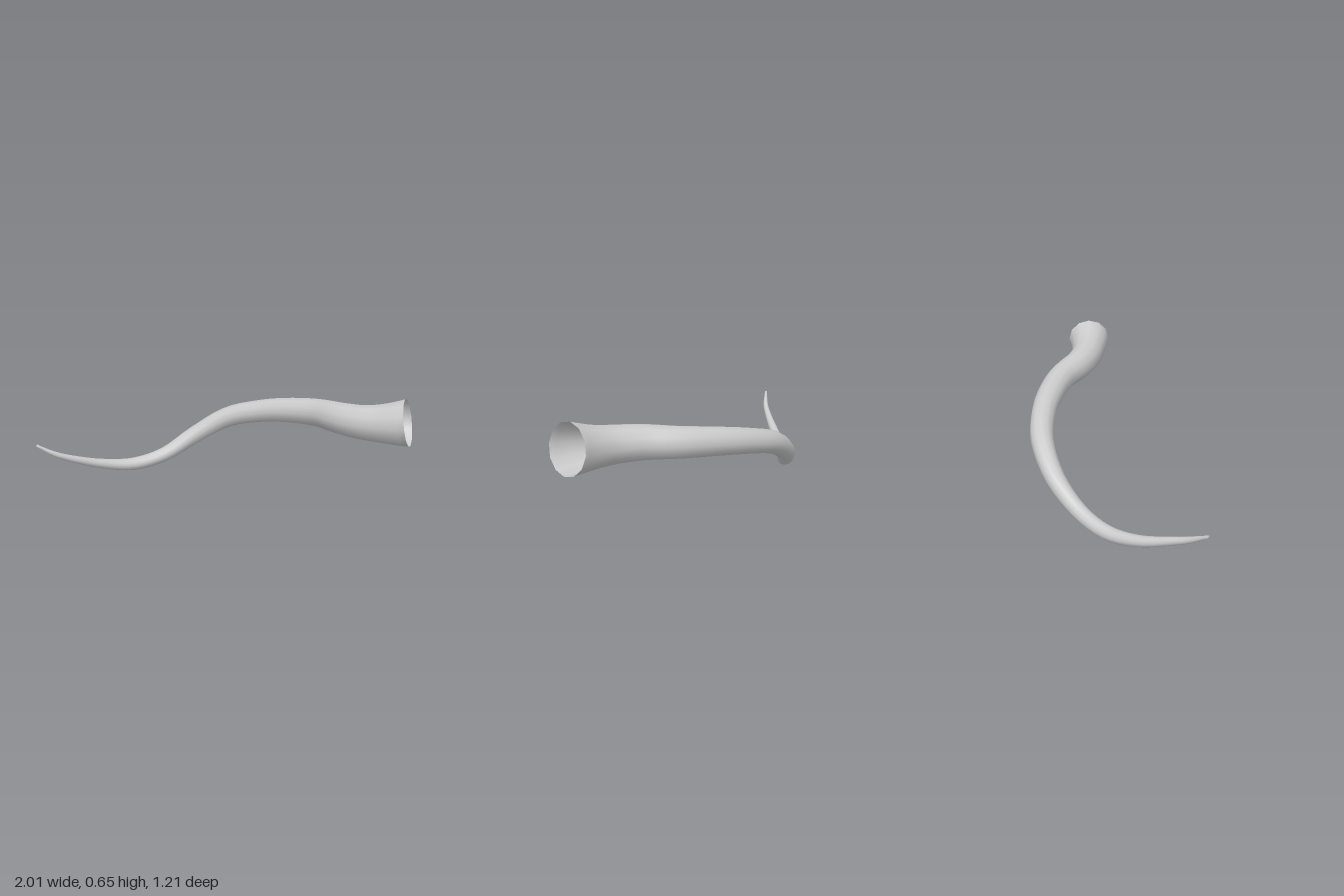
import * as THREE from 'three';

// Centre line from the tip to the open mouth: x, y, z, radius
const PATH = [
  [-1.0, 0.26, -0.445, 0.008],
  [-0.9, 0.197, -0.445, 0.016],
  [-0.8, 0.15, -0.465, 0.021],
  [-0.6, 0.077, -0.515, 0.031],
  [-0.4, 0.045, -0.544, 0.04],
  [-0.2, 0.085, -0.556, 0.045],
  [0.0, 0.2, -0.553, 0.055],
  [0.2, 0.325, -0.48, 0.064],
  [0.37, 0.392, -0.34, 0.07],
  [0.49, 0.43, -0.2, 0.076],
  [0.615, 0.463, 0.0, 0.083],
  [0.675, 0.48, 0.18, 0.091],
  [0.745, 0.49, 0.307, 0.098],
  [0.825, 0.503, 0.398, 0.109],
  [0.928, 0.526, 0.49, 0.132],
  [1.04, 0.555, 0.56, 0.155], // guide beyond the mouth, sets the rim angle
];
const SIDES = 12;
const RINGS = 56;

function hornGeometry() {
  const centre = new THREE.CatmullRomCurve3(PATH.map(([x, y, z]) => new THREE.Vector3(x, y, z)));
  const radius = new THREE.SplineCurve(PATH.map((p, i) => new THREE.Vector2(i, p[3])));
  const tEnd = (PATH.length - 2) / (PATH.length - 1);
  const up = new THREE.Vector3(0, 1, 0);
  const positions = [];
  const indices = [];

  // One ring of corners per step, square to the centre line
  for (let i = 0; i <= RINGS; i++) {
    const t = (i / RINGS) * tEnd;
    const p = centre.getPoint(t);
    const r = radius.getPoint(t).y;
    const tangent = centre.getTangent(t);
    const side = new THREE.Vector3().crossVectors(up, tangent).normalize();
    const top = new THREE.Vector3().crossVectors(tangent, side);
    for (let j = 0; j < SIDES; j++) {
      const a = (j / SIDES) * Math.PI * 2;
      const v = p.clone().addScaledVector(top, r * Math.cos(a)).addScaledVector(side, -r * Math.sin(a));
      positions.push(v.x, v.y, v.z);
    }
  }

  // Skin between neighbouring rings
  for (let i = 0; i < RINGS; i++) {
    for (let j = 0; j < SIDES; j++) {
      const k = (j + 1) % SIDES;
      const a = i * SIDES + j, b = i * SIDES + k;
      const c = a + SIDES, d = b + SIDES;
      indices.push(a, b, c, b, d, c);
    }
  }

  // Small cap on the tip
  for (let j = 1; j < SIDES - 1; j++) indices.push(0, j + 1, j);

  const geometry = new THREE.BufferGeometry();
  geometry.setAttribute('position', new THREE.Float32BufferAttribute(positions, 3));
  geometry.setIndex(indices);
  geometry.computeVertexNormals();
  return geometry;
}

export function createModel() {
  const group = new THREE.Group();
  group.name = 'curvedHorn';
  // Thin hollow shell, open at the wide end
  const material = new THREE.MeshStandardMaterial({ color: 0xcccccc, side: THREE.DoubleSide });
  const horn = new THREE.Mesh(hornGeometry(), material);
  horn.name = 'hornShell';
  group.add(horn);
  return group;
}
